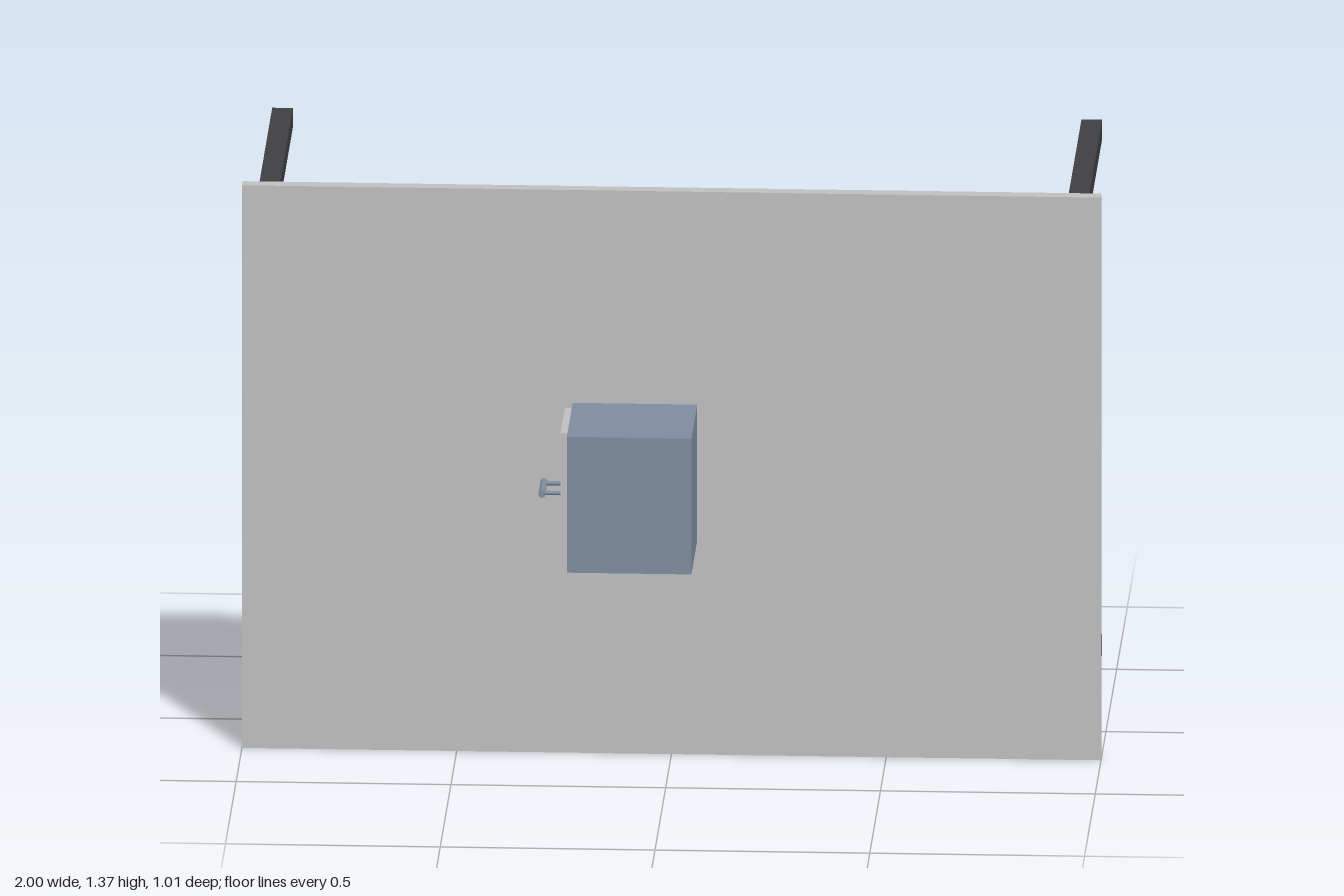
import * as THREE from 'three';

const material = (name, color) => {
  const m = new THREE.MeshStandardMaterial({ color });
  m.name = name;
  return m;
};

export function createModel() {
  const group = new THREE.Group();
  const grey = material('light grey', 0xc0c0c0);
  const blue = material('slate blue', 0x808da0);
  const dark = material('charcoal', 0x404043);

  // Box given by its lower and upper corners
  const box = (name, mat, [x0, y0, z0], [x1, y1, z1], parent = group) => {
    const mesh = new THREE.Mesh(new THREE.BoxGeometry(x1 - x0, y1 - y0, z1 - z0), mat);
    mesh.position.set((x0 + x1) / 2, (y0 + y1) / 2, (z0 + z1) / 2);
    mesh.name = name;
    parent.add(mesh);
  };

  // Upright top panel with four legs pointing back
  box('panel', grey, [-1, 0, 0.197], [1, 1.367, 0.23]);
  for (const x of [-0.942, 0.942])
    for (const y of [0.06, 1.31])
      box('leg', dark, [x - 0.024, y - 0.024, -0.503], [x + 0.024, y + 0.024, 0.197]);

  // Cabinet passing through the panel, with a door on its right side
  box('cabinet', blue, [-0.23, 0.52, 0.083], [0.06, 0.85, 0.503]);
  box('door', grey, [-0.246, 0.52, 0.272], [-0.23, 0.85, 0.478]);

  // Door handle: two posts and a grip
  const handle = new THREE.Group();
  handle.name = 'handle';
  group.add(handle);
  const rod = (name, radius, length, x, z, axis) => {
    const mesh = new THREE.Mesh(new THREE.CylinderGeometry(radius, radius, length, 16), blue);
    mesh.rotation[axis] = Math.PI / 2;
    mesh.position.set(x, 0.685, z);
    mesh.name = name;
    handle.add(mesh);
  };
  for (const z of [0.332, 0.41]) rod('handlePost', 0.005, 0.046, -0.269, z, 'z');
  rod('handleGrip', 0.008, 0.106, -0.292, 0.371, 'x');

  return group;
}
